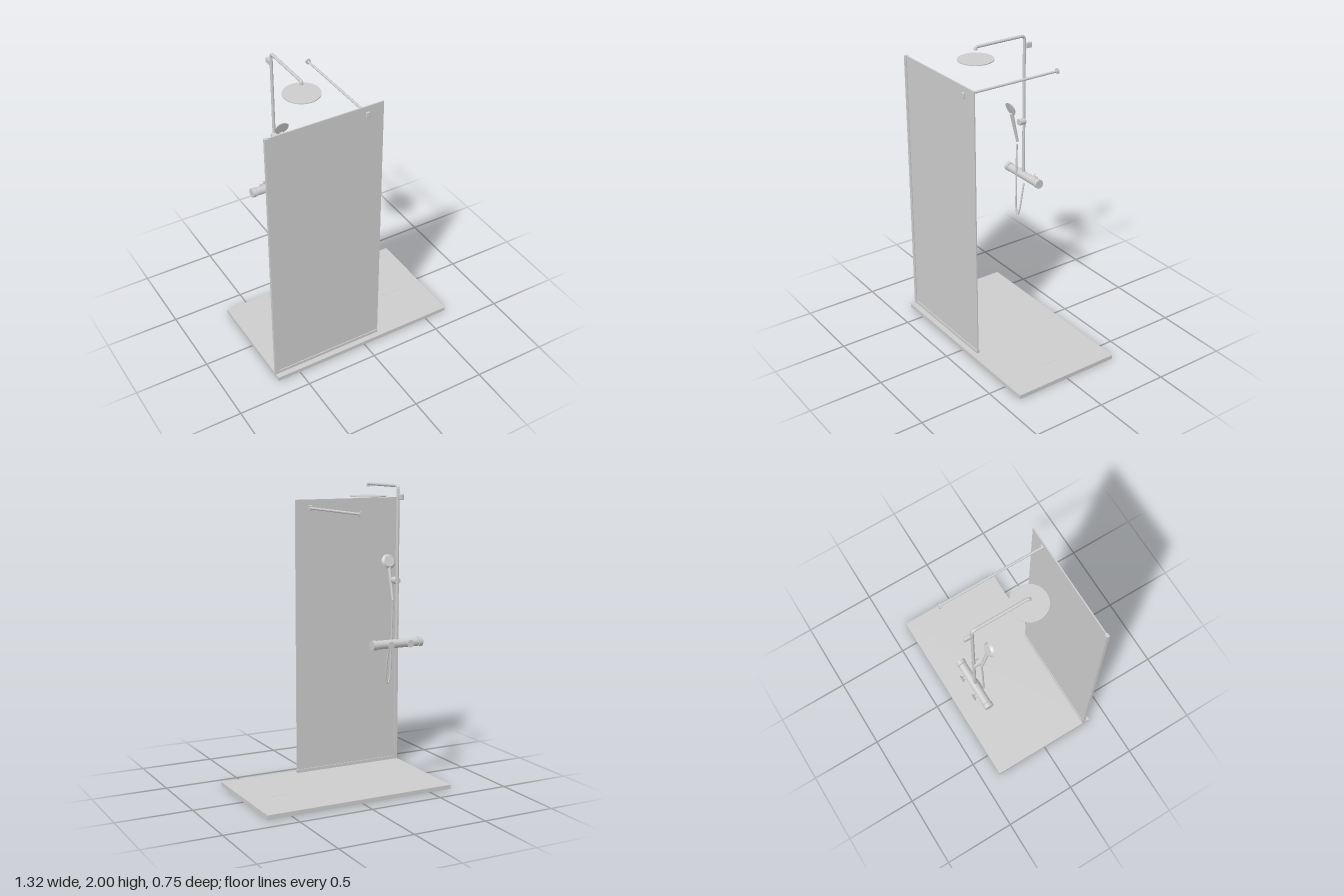
import * as THREE from 'three';
import { RoundedBoxGeometry } from 'three/addons/geometries/RoundedBoxGeometry.js';

export function createModel() {
  const model = new THREE.Group();
  model.name = 'walkInShower';
  const grey = new THREE.MeshStandardMaterial({ color: 0xcccccc });
  grey.name = 'light grey';

  const V = (x, y, z) => new THREE.Vector3(x, y, z);
  const add = (name, geometry, x = 0, y = 0, z = 0) => {
    const mesh = new THREE.Mesh(geometry, grey);
    mesh.name = name;
    mesh.position.set(x, y, z);
    model.add(mesh);
    return mesh;
  };
  // Box given by its lower and upper corners
  const box = (name, a, b) => add(name, new THREE.BoxGeometry(b[0] - a[0], b[1] - a[1], b[2] - a[2]),
    (a[0] + b[0]) / 2, (a[1] + b[1]) / 2, (a[2] + b[2]) / 2);
  // Round bar between two points, r1 at the start and r2 at the end
  const rod = (name, a, b, r1, r2 = r1, sides = 24) => {
    const dir = b.clone().sub(a);
    const mesh = add(name, new THREE.CylinderGeometry(r2, r1, dir.length(), sides));
    mesh.position.copy(a).lerp(b, 0.5);
    mesh.quaternion.setFromUnitVectors(V(0, 1, 0), dir.normalize());
    return mesh;
  };

  // Tray with a square drain cover
  box('tray', [-0.66, 0, -0.377], [0.66, 0.028, 0.377]);
  box('drainCover', [0.36, 0.02, -0.065], [0.488, 0.0288, 0.06]);

  // Glass screen held by a wall profile and a bottom rail
  const gz = 0.331;
  box('glassPanel', [-0.655, 0.03, gz - 0.004], [0.126, 1.88, gz + 0.004]);
  for (const s of [-1, 1]) {
    const z0 = gz + (s > 0 ? 0.004 : -0.01), z1 = z0 + 0.006;
    box('wallProfileSide', [-0.662, 0.028, z0], [-0.638, 1.88, z1]);
    box('bottomRailSide', [-0.638, 0.028, z0], [0.126, 0.05, z1]);
  }
  box('wallProfileBack', [-0.662, 0.028, gz - 0.004], [-0.655, 1.88, gz + 0.004]);

  // Brace bar from the glass to the wall
  rod('braceBar', V(0.016, 1.823, gz), V(0.016, 1.823, -0.37), 0.008);
  rod('braceFlange', V(0.016, 1.823, -0.367), V(0.016, 1.823, -0.377), 0.018);
  add('glassClamp', new RoundedBoxGeometry(0.028, 0.038, 0.026, 2, 0.005), 0.016, 1.823, gz);

  // Riser pipe bending into the overhead arm
  const px = -0.267, pz = -0.322, hz = 0.055;
  const pipe = new THREE.CurvePath();
  const bends = [V(px, 1.0, pz), V(px, 1.96, pz), V(px, 1.988, pz), V(px, 1.988, pz + 0.028),
    V(px, 1.988, hz - 0.012), V(px, 1.988, hz), V(px, 1.976, hz)];
  pipe.add(new THREE.LineCurve3(bends[0], bends[1]));
  pipe.add(new THREE.QuadraticBezierCurve3(bends[1], bends[2], bends[3]));
  pipe.add(new THREE.LineCurve3(bends[3], bends[4]));
  pipe.add(new THREE.QuadraticBezierCurve3(bends[4], bends[5], bends[6]));
  add('riserAndArm', new THREE.TubeGeometry(pipe, 240, 0.01, 16));
  rod('armNozzle', V(px, 1.98, hz), V(px, 1.968, hz), 0.011);
  add('overheadShower', new THREE.CylinderGeometry(0.117, 0.117, 0.006, 64), px, 1.908, hz);
  add('riserBracket', new RoundedBoxGeometry(0.022, 0.036, 0.045, 2, 0.004), px, 1.92, -0.354);

  // Thermostatic mixer bar with end knobs and wall unions
  const my = 1.0;
  rod('mixerBody', V(-0.416, my, -0.324), V(-0.118, my, -0.324), 0.028, 0.028, 32);
  for (const [x0, x1] of [[-0.447, -0.42], [-0.114, -0.088]]) {
    rod('mixerKnob', V(x0, my, -0.324), V(x1, my, -0.324), 0.031, 0.031, 32);
  }
  for (const x of [-0.339, -0.198]) {
    rod('wallUnion', V(x, my, -0.34), V(x, my, -0.372), 0.011);
    rod('wallRosette', V(x, my, -0.366), V(x, my, -0.377), 0.016, 0.024);
  }

  // Sliding holder on the riser
  rod('slider', V(px, 1.398, -0.328), V(px, 1.398, -0.28), 0.022);

  // Hand shower: tapered handle and tilted round head
  rod('handsetHandle', V(px, 1.265, -0.271), V(px, 1.475, -0.222), 0.009, 0.013);
  const tilt = V(0, -0.34, 0.94).normalize();
  const headCentre = V(px, 1.51, -0.217);
  rod('handsetHead', headCentre.clone().addScaledVector(tilt, -0.008),
    headCentre.clone().addScaledVector(tilt, 0.006), 0.036, 0.048, 40);

  // Hose looping from the handset down and back up to the mixer
  const hose = new THREE.CatmullRomCurve3([V(px, 1.245, -0.267), V(-0.266, 1.05, -0.262),
    V(-0.262, 0.88, -0.258), V(-0.258, 0.77, -0.256), V(-0.242, 0.73, -0.256),
    V(-0.228, 0.77, -0.262), V(-0.224, 0.86, -0.276), V(-0.226, 0.965, -0.296)]);
  add('hose', new THREE.TubeGeometry(hose, 100, 0.006, 12));

  return model;
}
